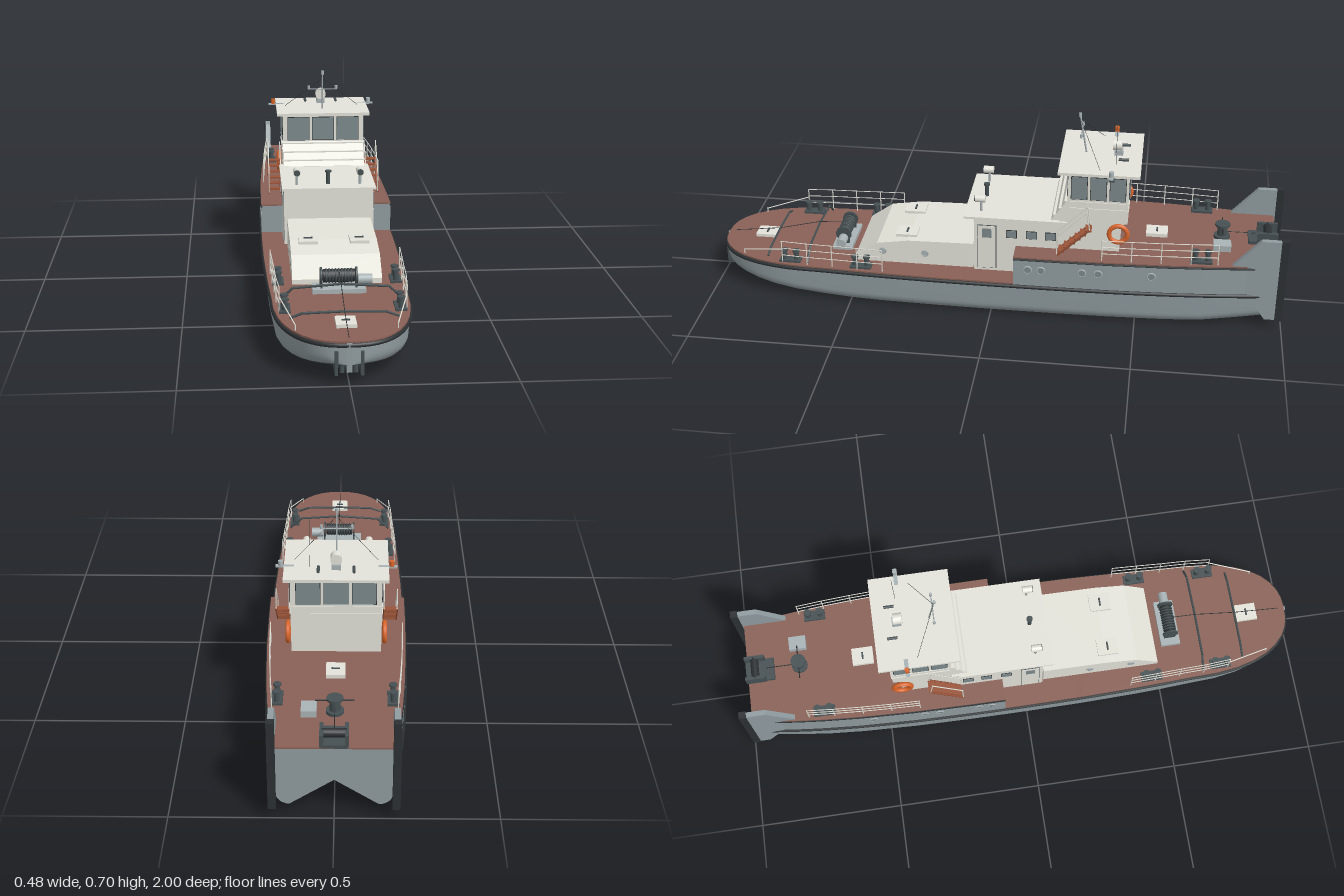
import * as THREE from 'three';

const V = (x, y, z) => new THREE.Vector3(x, y, z);
const mat = (name, color, side = THREE.FrontSide) => {
  const m = new THREE.MeshStandardMaterial({ color, side });
  m.name = name;
  return m;
};

export function createModel() {
  const root = new THREE.Group();
  root.name = 'pushBoat';
  const hullGrey = mat('hullGrey', 0x919da1, THREE.DoubleSide);
  const bottomPaint = mat('bottomPaint', 0x50575a, THREE.DoubleSide);
  const deckRed = mat('deckRed', 0x896156);
  const white = mat('houseWhite', 0xe3e3da);
  const dark = mat('rubberBlack', 0x2d3133);
  const iron = mat('ironGrey', 0x465053);
  const glass = mat('windowGlass', 0x7d8a8e);
  const orange = mat('safetyOrange', 0xd9662c);
  const steel = mat('paleSteel', 0xa9b3b6);
  const stairRed = mat('stairRed', 0x9a5439);

  // Helpers
  const add = (name, geo, m, x = 0, y = 0, z = 0) => {
    const mesh = new THREE.Mesh(geo, m);
    mesh.name = name;
    mesh.position.set(x, y, z);
    root.add(mesh);
    return mesh;
  };
  const box = (name, m, w, h, d, x, y, z) => add(name, new THREE.BoxGeometry(w, h, d), m, x, y, z);
  const cyl = (name, m, r, h, x, y, z, axis = 'y') => {
    const g = new THREE.CylinderGeometry(r, r, h, 18);
    if (axis === 'x') g.rotateZ(Math.PI / 2);
    if (axis === 'z') g.rotateX(Math.PI / 2);
    return add(name, g, m, x, y, z);
  };
  const rod = (name, m, a, b, r = 0.002) => {
    const dir = b.clone().sub(a);
    const mesh = add(name, new THREE.CylinderGeometry(r, r, dir.length(), 6), m);
    mesh.position.copy(a).add(b).multiplyScalar(0.5);
    mesh.quaternion.setFromUnitVectors(V(0, 1, 0), dir.normalize());
  };
  const path = (name, m, pts, r) => pts.slice(1).forEach((p, i) => rod(name, m, pts[i], p, r));
  // Side profile of [z, y] points extruded across x
  const profile = (name, m, pts, width, x = 0) => {
    const g = new THREE.ExtrudeGeometry(new THREE.Shape(pts.map(p => new THREE.Vector2(...p))), { depth: width, bevelEnabled: false });
    return add(name, g.translate(0, 0, -width / 2).rotateY(-Math.PI / 2), m, x);
  };

  // Plan outline and keel line
  const half = z => z > 0.6 ? 0.215 * Math.pow(Math.max(0, 1 - Math.pow((z - 0.6) / 0.39, 2.4)), 1 / 2.4)
    : z > 0 ? 0.232 - 0.017 * (z / 0.6) ** 2 : 0.232 - 0.05 * (-z / 0.97) ** 3;
  const keel = z => z > 0.4 ? 0.06 * ((z - 0.4) / 0.59) ** 2 : z < -0.7 ? 0.03 * (-0.7 - z) / 0.27 : 0;
  const stations = [-0.97, -0.92, -0.87, -0.82, -0.77, -0.72, -0.6, -0.4, -0.2, -0.08, 0, 0.2, 0.4, 0.5, 0.6, 0.7, 0.78, 0.84, 0.89, 0.93, 0.96, 0.978, 0.987, 0.99];
  const outline = (z0, z1) => {
    const zs = stations.filter(z => z >= z0 && z <= z1);
    return [...zs.map(z => [half(z), z]), ...zs.reverse().map(z => [-half(z), z])];
  };
  const slab = (name, m, z0, z1, y0, y1) => {
    const s = new THREE.Shape(outline(z0, z1).map(([x, z]) => new THREE.Vector2(x, -z)));
    add(name, new THREE.ExtrudeGeometry(s, { depth: y1 - y0, bevelEnabled: false }).rotateX(-Math.PI / 2), m, 0, y0);
  };

  // Hull section: near-upright wall, round bilge, flat bottom notched under the square end
  const TOP = 0.126, N = 32;
  const section = z => {
    const w = half(z), k = keel(z), r = Math.min(0.042, (TOP - k) * 0.6, w * 0.6), foot = w * 0.975, flat = foot - r;
    const notch = 0.09 * THREE.MathUtils.clamp((-0.72 - z) / 0.25, 0, 1);
    const pts = [0, 0.5, 1].map(t => [w + (foot - w) * t, TOP + (k + r - TOP) * t]);
    for (let i = 1; i <= 6; i++) {
      const a = i * Math.PI / 12;
      pts.push([flat + r * Math.cos(a), k + r - r * Math.sin(a)]);
    }
    for (let i = 1; i <= 8; i++) pts.push([flat * (1 - i / 8), k + notch * i / 8]);
    return [...pts, ...pts.slice(0, -1).reverse().map(([x, y]) => [-x, y])].flatMap(([x, y]) => [x, y, z]);
  };
  const pos = stations.flatMap(section), topside = [], bottom = [], ramp = [];
  for (let i = 0; i < stations.length - 1; i++) for (let j = 0; j < N; j++) {
    const a = i * (N + 1) + j, c = a + N + 1;
    const list = i < 5 && j >= 8 && j < 24 ? ramp : j >= 6 && j < 26 ? bottom : topside;
    list.push(a, c, a + 1, a + 1, c, c + 1);
  }
  const loft = (p, ix) => {
    const g = new THREE.BufferGeometry();
    g.setAttribute('position', new THREE.Float32BufferAttribute(p, 3));
    g.setIndex(ix);
    g.computeVertexNormals();
    return g;
  };
  const shell = loft(pos, [...topside, ...bottom]);
  shell.addGroup(0, topside.length, 0);
  shell.addGroup(topside.length, bottom.length, 1);
  add('hull', shell, [hullGrey, bottomPaint]);
  const facets = loft(pos, ramp).toNonIndexed();
  facets.computeVertexNormals();
  add('sternRamp', facets, hullGrey);
  const fan = [];
  for (let j = 0; j < N; j++) fan.push(N + 1, j, j + 1);
  add('transom', loft([...pos.slice(0, 3 * (N + 1)), 0, TOP, -0.97], fan), hullGrey);

  // Decks and rubbing strakes
  slab('mainDeck', deckRed, -0.08, 0.99, 0.125, 0.134);
  slab('raisedHull', hullGrey, -0.97, -0.08, 0.126, 0.232);
  slab('raisedDeck', deckRed, -0.97, -0.08, 0.232, 0.237);
  add('guardRail', new THREE.TubeGeometry(new THREE.CatmullRomCurve3(
    outline(-0.95, 0.99).map(([x, z]) => V(x, 0.122, z)), false, 'centripetal'), 140, 0.007, 8), dark);
  for (const s of [1, -1]) path('upperStrake', dark, stations.filter(z => z <= -0.08).map(z => V(s * half(z), 0.229, z)), 0.004);

  // Rudders and skeg beneath the round end
  box('skeg', hullGrey, 0.09, 0.035, 0.14, 0, 0.024, 0.78);
  for (let i = 0; i < 5; i++) box('skegGrating', steel, 0.008, 0.004, 0.12, -0.036 + i * 0.018, 0.006, 0.78);
  box('rudderPost', hullGrey, 0.016, 0.09, 0.02, 0, 0.085, 0.985);
  for (const s of [1, -1]) {
    box('rudder', iron, 0.01, 0.075, 0.09, s * 0.038, 0.067, 0.948);
    cyl('rudderStock', iron, 0.008, 0.08, s * 0.02, 0.07, 0.965);
  }
  box('rudderBeam', iron, 0.09, 0.015, 0.05, 0, 0.1, 0.955);

  // Deckhouse, low trunk and wheelhouse
  profile('trunk', white, [[0.07, 0.13], [0.49, 0.13], [0.49, 0.15], [0.41, 0.207], [0.3, 0.224], [0.07, 0.228]], 0.29);
  box('deckhouse', white, 0.31, 0.21, 0.32, 0, 0.235, -0.095);
  box('deckhouseRoof', white, 0.325, 0.008, 0.33, 0, 0.34, -0.065);
  profile('wheelhouse', white, [[-0.2, 0.235], [-0.2, 0.345], [-0.255, 0.425], [-0.255, 0.53], [-0.46, 0.53], [-0.46, 0.345], [-0.435, 0.34], [-0.435, 0.235]], 0.294);
  box('wheelhouseRoof', white, 0.336, 0.01, 0.275, 0, 0.532, -0.358);
  for (const [y, z] of [[0.42, -0.25], [0.392, -0.231], [0.365, -0.212]]) box('frontLedge', white, 0.3, 0.004, 0.012, 0, y, z);
  for (const y of [0.395, 0.42]) box('wallBand', white, 0.3, 0.004, 0.205, 0, y, -0.36);

  // Windows: dark frame plate with a glass plate on top
  const pane = (w, h, x, y, z, facesX) => {
    for (const [name, m, grow, t] of [['windowFrame', dark, 0.004, 0.004], ['windowPane', glass, 0, 0.008]])
      box(name, m, facesX ? t : w + grow, h + grow, facesX ? w + grow : t, x, y, z);
  };
  for (const x of [-0.09, 0, 0.09]) for (const z of [-0.255, -0.46]) pane(0.076, 0.083, x, 0.473, z, false);

  for (const s of [1, -1]) {
    for (const z of [-0.293, -0.358, -0.423]) pane(0.052, 0.083, s * 0.147, 0.473, z, true);
    for (const z of [-0.065, -0.135, -0.2]) pane(0.034, 0.026, s * 0.155, 0.283, z, true);
    box('doorFrame', iron, 0.004, 0.169, 0.066, s * 0.155, 0.228, 0.02);
    box('door', white, 0.008, 0.165, 0.062, s * 0.155, 0.228, 0.02);
    box('doorWindow', glass, 0.01, 0.035, 0.032, s * 0.155, 0.283, 0.02);
    // Portholes
    const hole = (x, y, z, r, m) => {
      add('portholeRing', new THREE.TorusGeometry(r, 0.003, 6, 20).rotateY(Math.PI / 2), steel, s * x, y, z);
      cyl('portholeGlass', m, r, 0.004, s * x, y, z, 'x');
    };
    for (const z of [-0.13, -0.175, -0.315, -0.37, -0.55]) hole(half(z), 0.19, z, 0.013, glass);
    for (const z of [0.24, 0.39]) hole(0.145, 0.177, z, 0.01, steel);

    // Stairs with handrails
    for (let i = 0; i < 6; i++) box('stairTread', stairRed, 0.042, 0.005, 0.022, s * 0.178, 0.252 + i * 0.017, -0.24 - i * 0.018);
    for (const x of [0.157, 0.2]) {
      rod('stairStringer', stairRed, V(s * x, 0.238, -0.227), V(s * x, 0.342, -0.335), 0.004);
      path('stairHandrail', white, [V(s * x, 0.24, -0.225), V(s * x, 0.31, -0.225), V(s * x, 0.408, -0.325), V(s * x, 0.34, -0.335)], 0.002);
    }
    add('lifebuoy', new THREE.TorusGeometry(0.031, 0.008, 10, 28).rotateY(Math.PI / 2), orange, s * 0.157, 0.31, -0.43);

    // Railings along the deck edges
    for (const [zs, y, h] of [[[0.38, 0.47, 0.56, 0.65, 0.74], 0.132, 0.085], [[-0.38, -0.48, -0.58, -0.68, -0.77], 0.236, 0.078]]) {
      const inX = z => s * (half(z) - 0.012);
      for (const z of zs) rod('railPost', white, V(inX(z), y, z), V(inX(z), y + h, z), 0.002);
      for (const k of [0.36, 0.68, 1]) path('railBar', white, zs.map(z => V(inX(z), y + h * k, z)), 0.0016);
    }
    rod('railBrace', white, V(s * (half(0.74) - 0.012), 0.185, 0.74), V(s * (half(0.89) - 0.01), 0.15, 0.89));
    rod('railBracePost', white, V(s * (half(0.89) - 0.01), 0.13, 0.89), V(s * (half(0.89) - 0.01), 0.152, 0.89));

    // Double bollards
    for (const [z, y] of [[0.46, 0.133], [0.715, 0.133], [-0.715, 0.237]]) {
      const x = s * (half(z) - 0.032);
      box('bollardBase', iron, 0.036, 0.008, 0.075, x, y + 0.004, z);
      for (const d of [-0.021, 0.021]) {
        cyl('bollard', iron, 0.009, 0.038, x, y + 0.022, z + d);
        cyl('bollardCap', iron, 0.013, 0.005, x, y + 0.041, z + d);
      }
    }

    // Push knees with rubber pads
    profile('pushKnee', hullGrey, [[-0.82, 0.21], [-0.82, 0.237], [-0.91, 0.338], [-0.978, 0.338], [-0.978, 0.035], [-0.94, 0.035]], 0.018, s * 0.187);
    box('kneePad', dark, 0.024, 0.31, 0.025, s * 0.187, 0.187, -0.9875);

    // Roof searchlights, trunk hatches, lamps, horns and mast stays
    cyl('searchlightStem', steel, 0.005, 0.04, s * 0.11, 0.362, 0.045);
    cyl('searchlight', white, 0.013, 0.035, s * 0.11, 0.39, 0.048, 'z');
    cyl('searchlightLens', iron, 0.011, 0.004, s * 0.11, 0.39, 0.066, 'z');
    box('trunkHatch', white, 0.064, 0.01, 0.075, s * 0.085, 0.227, 0.31);
    box('hatchHandle', iron, 0.03, 0.004, 0.006, s * 0.085, 0.234, 0.31);
    box('lampArm', steel, 0.06, 0.005, 0.014, s * 0.165, 0.535, -0.4);
    box('eaveLamp', iron, 0.018, 0.008, 0.02, s * 0.156, 0.514, -0.4);
    cyl('navigationLamp', s < 0 ? orange : steel, 0.008, 0.018, s * 0.178, 0.546, -0.4);
    cyl('horn', iron, 0.005, 0.035, s * 0.057, 0.543, -0.435, 'z');
    rod('mastStay', dark, V(0, 0.655, -0.283), V(s * 0.135, 0.537, -0.36), 0.0007);
    cyl('mastLamp', steel, 0.005, 0.012, s * 0.05, 0.62, -0.288);
  }

  // Mast, radar dish, aerial and forward vent
  rod('mast', steel, V(0, 0.535, -0.305), V(0, 0.675, -0.28), 0.003);
  rod('mastYard', steel, V(-0.054, 0.613, -0.288), V(0.054, 0.613, -0.288), 0.002);
  cyl('mastheadLamp', steel, 0.005, 0.014, 0, 0.675, -0.28);
  box('dishBase', steel, 0.03, 0.018, 0.03, 0, 0.546, -0.415);
  cyl('radarDish', white, 0.019, 0.03, 0, 0.571, -0.41, 'z');
  rod('aerial', iron, V(0.085, 0.535, -0.41), V(0.085, 0.705, -0.41), 0.0007);
  cyl('ventPost', iron, 0.007, 0.045, 0, 0.366, 0.04);
  cyl('ventCap', iron, 0.011, 0.006, 0, 0.389, 0.04);

  // Towing winch, cable and tow bars on the low deck
  box('winchBase', steel, 0.17, 0.014, 0.07, 0, 0.141, 0.55);
  cyl('winchDrum', dark, 0.021, 0.1, 0, 0.183, 0.55, 'x');
  for (let i = 0; i < 9; i++) add('cableTurn', new THREE.TorusGeometry(0.021, 0.003, 6, 18).rotateY(Math.PI / 2), iron, -0.04 + i * 0.01, 0.183, 0.55);
  for (const x of [-0.056, 0.056]) {
    cyl('winchFlange', iron, 0.028, 0.006, x, 0.183, 0.55, 'x');
    box('winchBracket', iron, 0.006, 0.03, 0.04, x, 0.16, 0.55);
  }
  cyl('winchMotor', steel, 0.017, 0.045, 0.084, 0.17, 0.55, 'x');
  path('towCable', dark, [V(0, 0.2, 0.55), V(0, 0.195, 0.65), V(0, 0.158, 0.8), V(0, 0.138, 0.965)], 0.0013);
  for (const [z, k, h] of [[0.65, 1, 0.052], [0.8, 0.85, 0.018]])
    path('towBar', iron, [[-0.195, 0], [-0.15, 0.8], [0, 1], [0.15, 0.8], [0.195, 0]].map(([x, y]) => V(x * k, 0.138 + y * h, z)), 0.004);

  // Deck hatches
  for (const [y, z] of [[0.138, 0.845], [0.243, -0.56]]) {
    box('deckHatch', white, 0.062, 0.014, 0.075, 0, y, z);
    box('hatchHandle', iron, 0.026, 0.004, 0.006, 0, y + 0.008, z);
  }

  // Capstan, locker and coupling winch on the raised deck
  cyl('capstanBase', iron, 0.028, 0.01, 0, 0.242, -0.785);
  cyl('capstan', iron, 0.017, 0.04, 0, 0.265, -0.785);
  cyl('capstanHead', iron, 0.026, 0.008, 0, 0.287, -0.785);
  rod('capstanBar', dark, V(-0.06, 0.28, -0.785), V(0.06, 0.28, -0.785), 0.002);
  box('locker', steel, 0.048, 0.022, 0.06, 0.08, 0.248, -0.785);
  rod('couplingCable', dark, V(0, 0.26, -0.8), V(0, 0.26, -0.9), 0.0015);
  box('couplingBase', iron, 0.08, 0.012, 0.1, 0, 0.243, -0.925);
  for (const x of [-0.038, 0.038]) box('couplingCheek', iron, 0.012, 0.042, 0.07, x, 0.262, -0.94);
  cyl('couplingRoller', dark, 0.014, 0.075, 0, 0.27, -0.94, 'x');

  return root;
}
